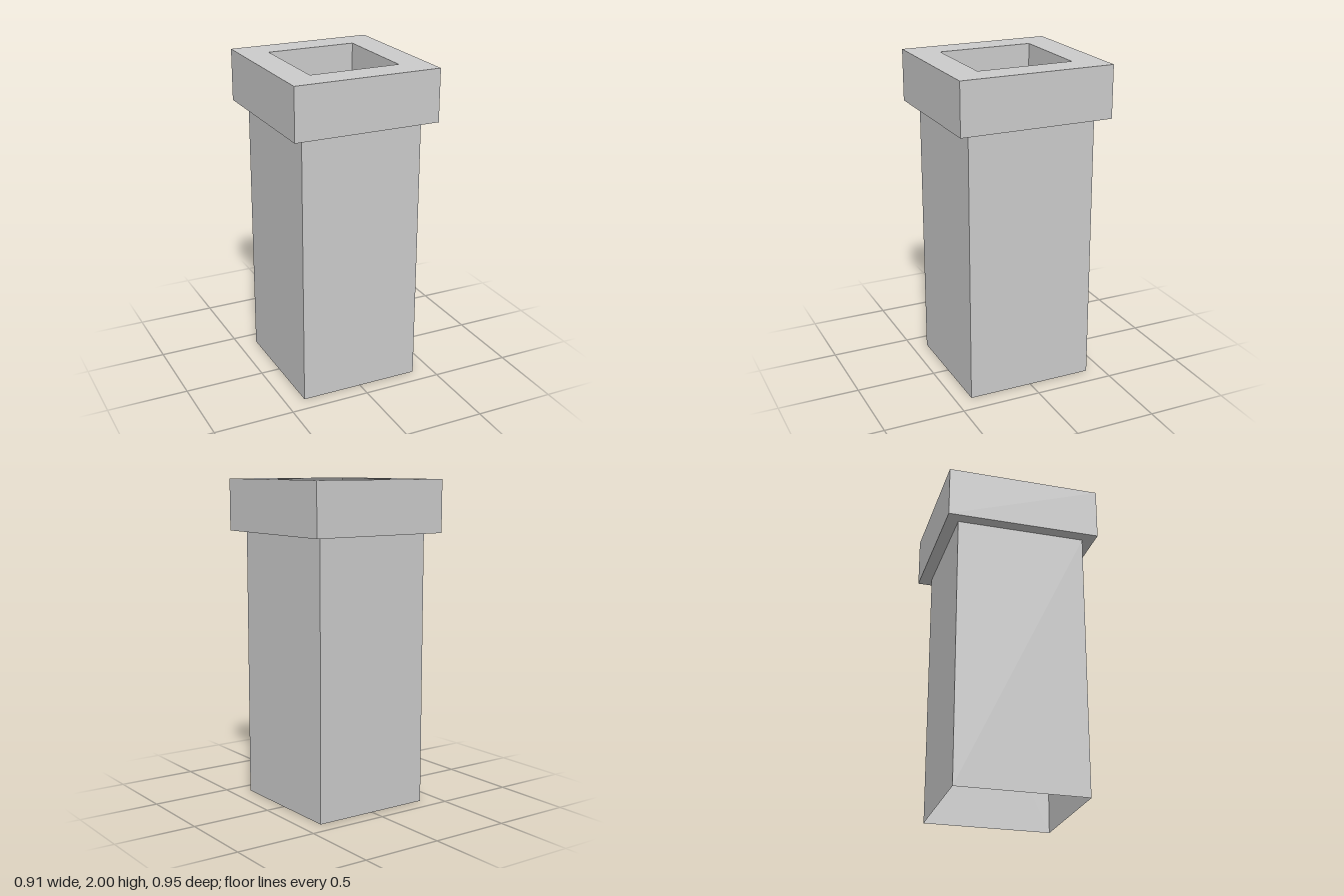
import * as THREE from 'three';

const material = new THREE.MeshStandardMaterial({ color: 0xcccccc, flatShading: true, side: THREE.DoubleSide });

// Rectangular rings [halfWidth, y, halfDepth] joined by flat walls
function rectLoft(name, rings) {
  const corners = [[1, 1], [1, -1], [-1, -1], [-1, 1]];
  const point = ([w, y, d], i) => {
    const [sx, sz] = corners[i % 4];
    return [sx * w, y, sz * d];
  };
  const positions = [];
  for (let r = 0; r < rings.length - 1; r++) {
    for (let i = 0; i < 4; i++) {
      const a = point(rings[r], i), b = point(rings[r], i + 1);
      const c = point(rings[r + 1], i + 1), d = point(rings[r + 1], i);
      positions.push(...a, ...b, ...c, ...a, ...c, ...d);
    }
  }
  const geometry = new THREE.BufferGeometry();
  geometry.setAttribute('position', new THREE.Float32BufferAttribute(positions, 3));
  geometry.computeVertexNormals();
  const mesh = new THREE.Mesh(geometry, material);
  mesh.name = name;
  return mesh;
}

export function createModel() {
  const group = new THREE.Group();
  group.name = 'chimney';

  const shaftBase = [0.38, 0, 0.4], shaftTop = [0.38, 1.68, 0.4];
  const capBottom = [0.454, 1.68, 0.476], capTop = [0.454, 2, 0.476];
  const flueTop = [0.28, 2, 0.297], flueBottom = [0.28, 1.4, 0.297];

  // Hollow shaft, open underneath
  group.add(rectLoft('shaft', [shaftBase, shaftTop]));

  // Overhanging cap: underside, sides and top rim
  group.add(rectLoft('cap', [shaftTop, capBottom, capTop, flueTop]));

  // Recessed flue with its floor
  group.add(rectLoft('flueWalls', [flueTop, flueBottom]));
  const floor = new THREE.Mesh(new THREE.PlaneGeometry(0.56, 0.594), material);
  floor.name = 'flueFloor';
  floor.rotation.x = -Math.PI / 2;
  floor.position.y = flueBottom[1];
  group.add(floor);

  return group;
}
